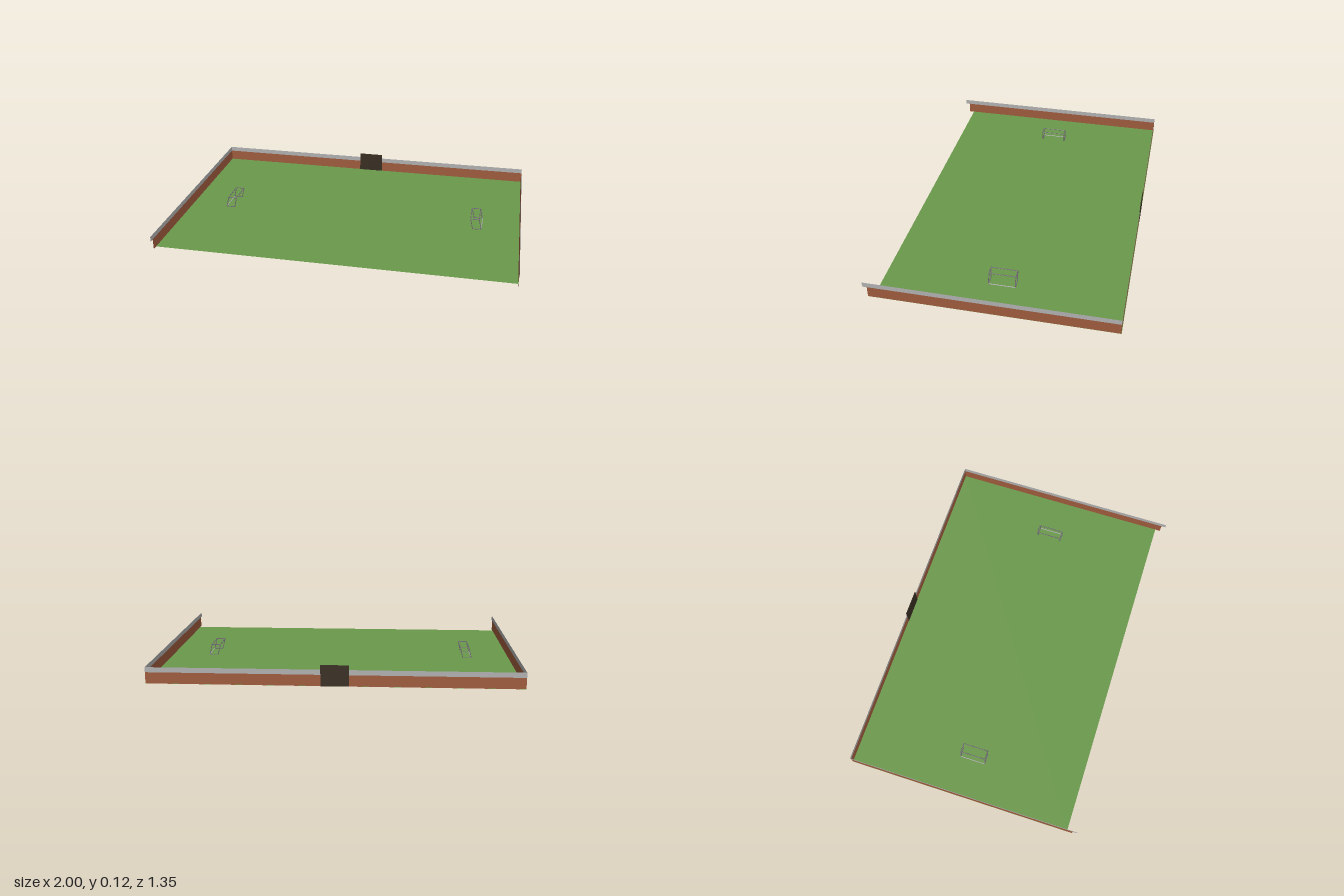
import * as THREE from 'three';

const mat = (name, color, side = THREE.FrontSide) => {
  const m = new THREE.MeshStandardMaterial({ color, side });
  m.name = name;
  return m;
};

export function createModel() {
  const grass = mat('grass green', 0x6a994a, THREE.DoubleSide);
  const brick = mat('brick brown', 0x9e5b3c, THREE.DoubleSide);
  const rail = mat('rail grey', 0xb0b0b0, THREE.DoubleSide);
  const gateDark = mat('gate dark brown', 0x382e22);
  const frame = mat('goal grey', 0x77727a);
  const bar = mat('goal light grey', 0xb8b6ba);

  const model = new THREE.Group();
  model.name = 'sportsField';

  const add = (parent, name, geometry, material) => {
    const mesh = new THREE.Mesh(geometry, material);
    mesh.name = name;
    parent.add(mesh);
    return mesh;
  };

  // Pitch, a single sheet of grass
  const backZ = -0.673;
  const pitch = add(model, 'pitch', new THREE.PlaneGeometry(2, 1.295).rotateX(-Math.PI / 2), grass);
  pitch.position.set(0, 0.001, -0.0275);

  // Thin walls on three sides: brick below, grey rail above
  const bands = [
    { name: 'Wall', y0: 0, y1: 0.062, frontZ: 0.65, material: brick },
    { name: 'Rail', y0: 0.062, y1: 0.09, frontZ: 0.675, material: rail },
  ];
  for (const { name, y0, y1, frontZ, material } of bands) {
    const h = y1 - y0, y = (y0 + y1) / 2;
    add(model, 'back' + name, new THREE.PlaneGeometry(2, h), material).position.set(0, y, backZ);
    for (const [side, s] of [['left', 1], ['right', -1]]) {
      const g = new THREE.PlaneGeometry(frontZ - backZ, h).rotateY(s * Math.PI / 2);
      add(model, side + name, g, material).position.set(s * 0.999, y, (frontZ + backZ) / 2);
    }
  }

  // Gate in the middle of the back wall
  add(model, 'gate', new THREE.BoxGeometry(0.15, 0.115, 0.004), gateDark).position.set(-0.005, 0.0575, backZ);

  // Goals: slim leaning frames facing the middle
  const rod = (parent, name, a, b, material) => {
    const from = new THREE.Vector3(...a), to = new THREE.Vector3(...b);
    const dir = to.clone().sub(from);
    const mesh = add(parent, name, new THREE.CylinderGeometry(0.0025, 0.0025, dir.length(), 6), material);
    mesh.position.copy(from).add(to).multiplyScalar(0.5);
    mesh.quaternion.setFromUnitVectors(new THREE.Vector3(0, 1, 0), dir.normalize());
  };
  const z0 = -0.088, z1 = 0.058, top = 0.064, low = 0.003;
  for (const [side, s] of [['left', 1], ['right', -1]]) {
    const goal = new THREE.Group();
    goal.name = side + 'Goal';
    for (const z of [z0, z1]) {
      rod(goal, 'frontPost', [s * 0.73, low, z], [s * 0.715, top, z], frame);
      rod(goal, 'backPost', [s * 0.78, low, z], [s * 0.765, top, z], frame);
      rod(goal, 'topSideBar', [s * 0.715, top, z], [s * 0.765, top, z], frame);
      rod(goal, 'footBar', [s * 0.73, low, z], [s * 0.78, low, z], frame);
    }
    rod(goal, 'crossbar', [s * 0.715, top, z0], [s * 0.715, top, z1], frame);
    rod(goal, 'topBackBar', [s * 0.765, top, z0], [s * 0.765, top, z1], frame);
    rod(goal, 'lowerBackBar', [s * 0.78, low, z0], [s * 0.78, low, z1], bar);
    model.add(goal);
  }

  return model;
}
